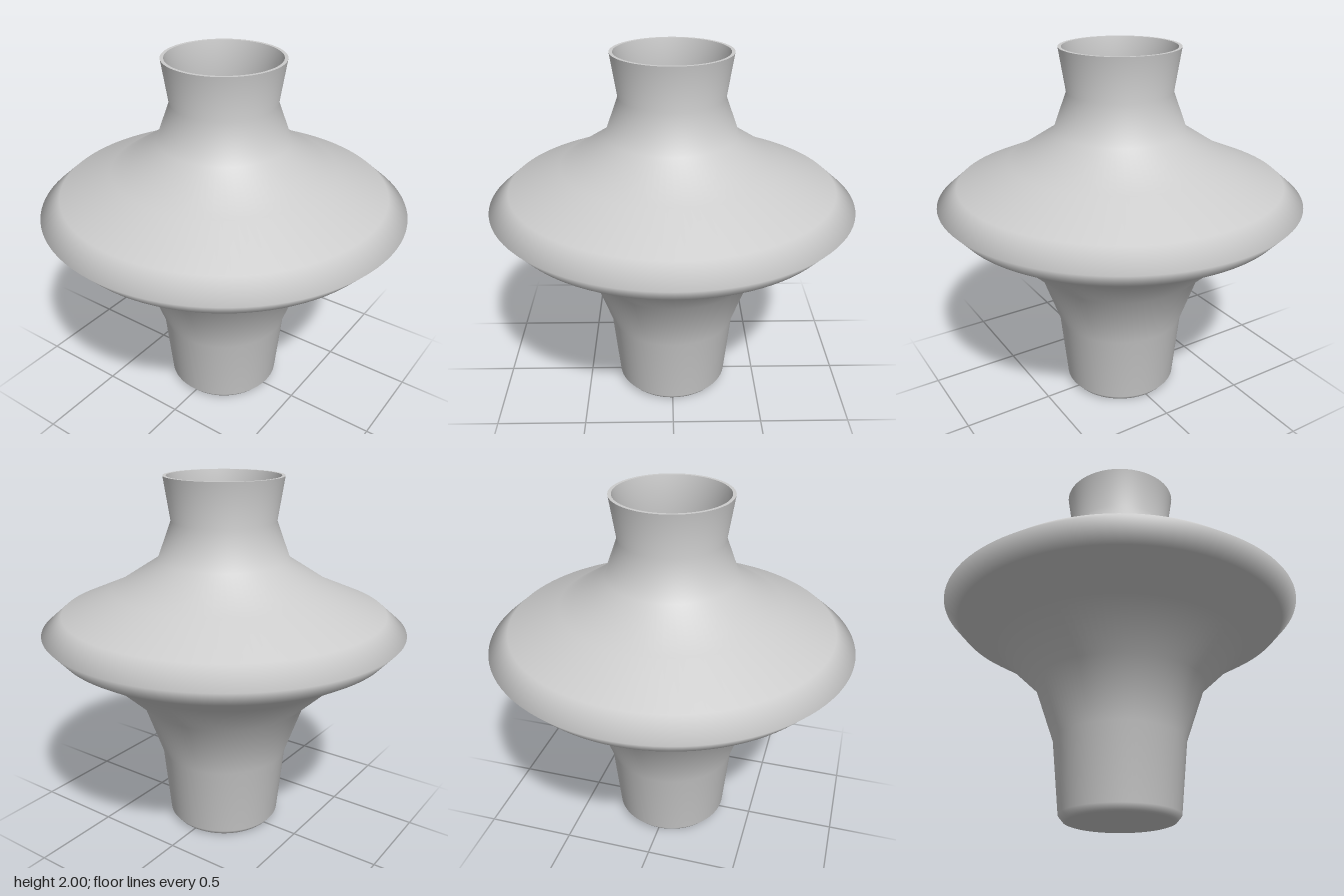
import * as THREE from 'three';

const SEGMENTS = 96;

// Revolve a list of [radius, height] pairs around the y axis
function revolve(name, profile, material) {
  const points = profile.map(([r, y]) => new THREE.Vector2(r, y));
  const mesh = new THREE.Mesh(new THREE.LatheGeometry(points, SEGMENTS), material);
  mesh.name = name;
  return mesh;
}

export function createModel() {
  const group = new THREE.Group();
  group.name = 'vase';
  const material = new THREE.MeshStandardMaterial({ color: 0xcccccc });

  // Outer wall: base, chamfer, flared foot, wide belly, shoulder, neck
  const outer = [
    [0, 0], [0.28, 0], [0.295, 0.005], [0.32, 0.035],
    [0.36, 0.43], [0.47, 0.745], [0.69, 0.955], [0.915, 1.09],
    [1, 1.185], [0.89, 1.28], [0.61, 1.4], [0.36, 1.56],
    [0.285, 1.765], [0.322, 2],
  ];

  // Inner wall: follows the outer one at a small thickness, down to a flat floor
  const inner = [
    [0.304, 2], [0.267, 1.765], [0.34, 1.55], [0.6, 1.383],
    [0.88, 1.262], [0.97, 1.185], [0.9, 1.108], [0.68, 0.975],
    [0.453, 0.755], [0.341, 0.435], [0.302, 0.04], [0.285, 0.022], [0, 0.02],
  ];

  group.add(revolve('outerWall', outer, material));
  group.add(revolve('innerWall', inner, material));

  // Flat lip joining both walls
  group.add(revolve('lip', [[0.322, 2], [0.304, 2]], material));

  return group;
}
